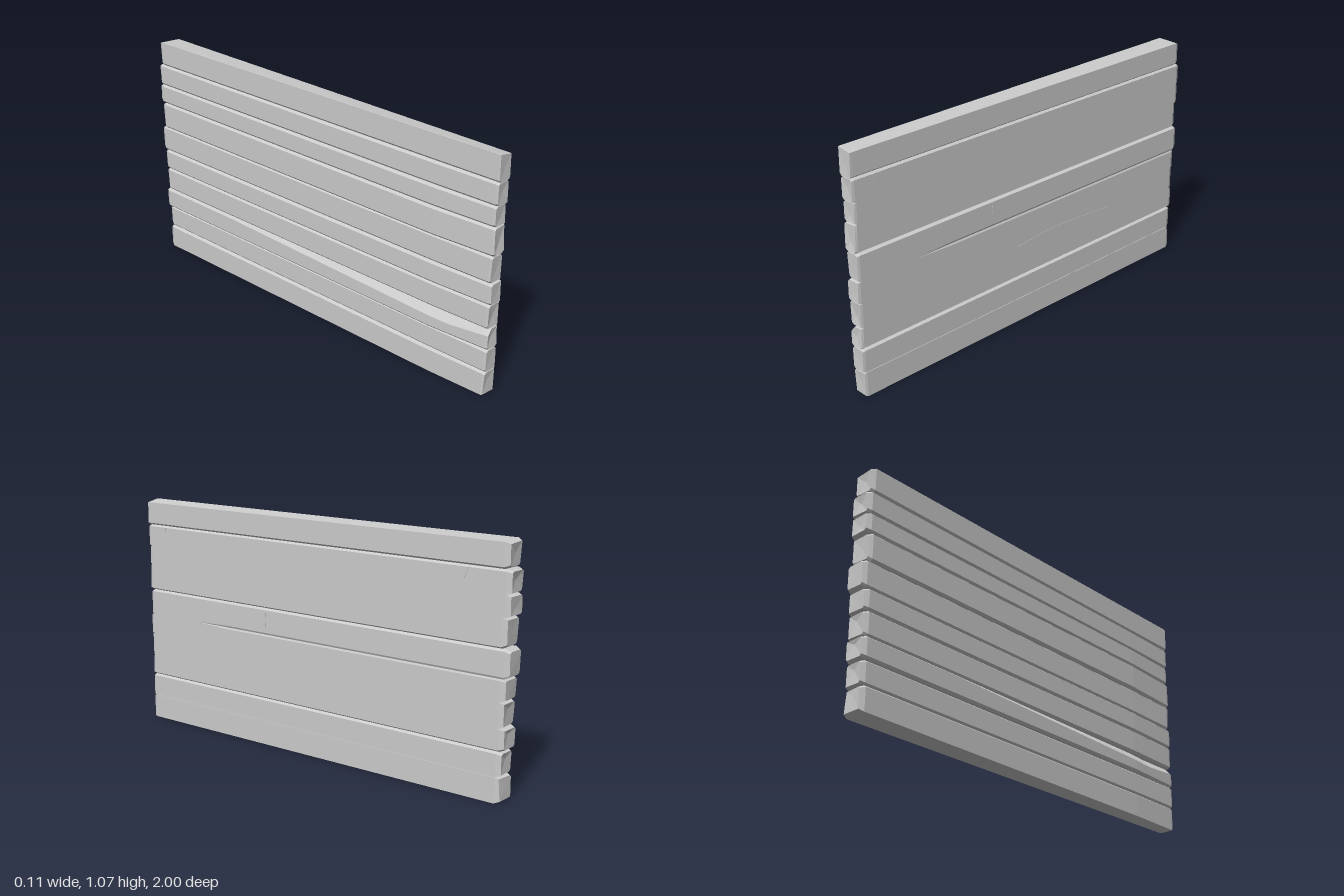
import * as THREE from 'three';

const material = new THREE.MeshStandardMaterial({ color: 0xcccccc, flatShading: true, side: THREE.DoubleSide });
const lerp = THREE.MathUtils.lerp;

// small seeded random generator
let seed = 7;
const rand = (a, b) => {
  seed = (seed * 16807) % 2147483647;
  return a + (b - a) * (seed / 2147483647);
};

// seam heights between the rows, and how deep each seam is cut on the +x face
const SEAMS = [0, 0.11, 0.215, 0.31, 0.42, 0.515, 0.635, 0.76, 0.85, 0.95, 1.062];
const CUT_RIGHT = [0, 0, 0.012, 0, 0, 0.004, 0.014, 0, 0, 0.01, 0];
// -x face position at the thick back end, bulge towards the thin front end, back end of each row
const LEFT = [-0.051, -0.047, -0.057, -0.053, -0.054, -0.051, -0.056, -0.055, -0.054, -0.053];
const BULGE = [0.008, 0.004, 0.016, 0.008, 0.01, 0.006, 0.014, 0.01, 0.004, 0];
const BACK = [-0.975, -0.976, -0.985, -0.98, -0.985, -1, -0.984, -0.996, -0.998, -0.987];
const FRONT = [0.988, 0.991, 0.993, 0.99, 0.995, 0.99, 0.996, 0.992, 0.997, 1];

// closed surface from rings of equal length, capped by an apex at each end
function loft(rings, startApex, endApex) {
  const pos = [];
  const tri = (...pts) => pts.forEach((p) => pos.push(p.x, p.y, p.z));
  const n = rings[0].length;
  for (let i = 0; i < n; i++) {
    const j = (i + 1) % n;
    for (let k = 0; k < rings.length - 1; k++) {
      const [a, b, c, d] = [rings[k][i], rings[k][j], rings[k + 1][j], rings[k + 1][i]];
      tri(a, b, c);
      tri(a, c, d);
    }
    const last = rings[rings.length - 1];
    tri(rings[0][j], rings[0][i], startApex);
    tri(last[i], last[j], endApex);
  }
  const geometry = new THREE.BufferGeometry();
  geometry.setAttribute('position', new THREE.Float32BufferAttribute(pos, 3));
  geometry.computeVertexNormals();
  return geometry;
}

// cross-section of one row at z: flat faces with bevels along the seams
function section(row, z) {
  const top = row === SEAMS.length - 2;
  const y0 = SEAMS[row];
  const y1 = SEAMS[row + 1];
  const xr = row === 0 ? 0.053 : 0.05;
  const t = (z + 1) / 2;
  // wedge-shaped wall: the -x face slopes in towards the front, most at the tip
  const swell = z < 0.7 ? (z + 1) / 1.7 : (1 - z) / 0.3;
  const xl = lerp(LEFT[row], -0.014, t) - BULGE[row] * swell;
  // the seam at mid height fades out towards the front
  const cut = (s) => (s === 5 && z > 0.5 ? 0 : CUT_RIGHT[s]);
  const b = 0.008;
  let cutL = top ? 0.001 : 0.01;
  let bevelL = top ? 0.001 : b;
  // long split along the upper edge of the third row
  if (row === 2 && z > -0.5) {
    const g = z < 0.8 ? (z + 0.5) / 1.3 : 1 - (z - 0.8) / 0.4;
    cutL += 0.025 * g;
    bevelL += 0.035 * g;
  }
  const low = row === 0 ? 0.001 : 0.01;
  const crown = top ? lerp(0, 0.006, t) : 0;
  const drop = top ? 0.006 : 0;
  return [
    [xl + low, y0], [xr - cut(row), y0],
    [xr, y0 + (cut(row) ? b : 0.001)],
    [xr, y1 - drop - (cut(row + 1) ? b : 0.001)],
    [xr - cut(row + 1), y1 - drop],
    [xl + cutL, y1 + crown],
    [xl, y1 + crown - bevelL],
    [xl, y0 + low],
  ].map(([x, y]) => new THREE.Vector3(x, y, z));
}

// narrows an end ring to give the row a chipped, broken end
function chipped(ring, z, amount) {
  const c = ring.reduce((s, p) => s.add(p), new THREE.Vector3()).divideScalar(ring.length);
  const skew = rand(-0.07, 0.07);
  return ring.map((p) => new THREE.Vector3(
    lerp(p.x, c.x, amount),
    lerp(p.y, c.y, amount * 0.8),
    z + Math.sign(z) * Math.min(0, (p.y - c.y) * skew + (p.x - c.x) * skew),
  ));
}

function plankRow(row) {
  const back = BACK[row];
  const front = FRONT[row];
  const stations = [back + 0.022, -0.5, -0.1, 0.3, 0.5, 0.7, 0.8, 0.9, front - 0.012];
  const rings = stations.map((z) => section(row, z));
  const first = chipped(rings[0], back, 0.2);
  const last = chipped(rings[rings.length - 1], front, row === 9 ? 0.02 : 0.08);
  const yMid = (SEAMS[row] + SEAMS[row + 1]) / 2;
  const apex = (x, z) => new THREE.Vector3(x + rand(-0.012, 0.012), yMid + rand(-0.025, 0.025), z);
  return new THREE.Mesh(
    loft([first, ...rings, last], apex(0, back + rand(0, 0.01)), apex(0.018, front - rand(0, 0.008))),
    material,
  );
}

// thin sliver lying on the +x face, given as outline points (z, y)
function sliver(points) {
  const shape = new THREE.Shape(points.map(([z, y]) => new THREE.Vector2(-z, y)));
  const geometry = new THREE.ExtrudeGeometry(shape, { depth: 0.002, bevelEnabled: false });
  geometry.rotateY(Math.PI / 2);
  geometry.translate(0.0495, 0, 0);
  return new THREE.Mesh(geometry, material);
}

export function createModel() {
  const wall = new THREE.Group();
  wall.name = 'plankWall';

  // stacked rows of rough boards
  for (let row = 0; row < SEAMS.length - 1; row++) {
    const mesh = plankRow(row);
    mesh.name = `plankRow${row + 1}`;
    wall.add(mesh);
  }

  // long grain crack
  const crack = sliver([[0.11, 0.366], [-0.5, 0.366], [-0.2, 0.384], [-0.08, 0.384]]);
  crack.name = 'grainCrack';
  wall.add(crack);

  // short nicks hanging below the seams: z, top, width, height
  [[0.26, 0.625, 0.012, 0.075], [0.89, 0.942, 0.01, 0.045], [-0.785, 0.942, 0.04, 0.05]].forEach(([z, y, w, h]) => {
    const nick = sliver([[z + w / 2, y], [z, y - h], [z - w / 2, y]]);
    nick.name = 'nick';
    wall.add(nick);
  });
  return wall;
}
